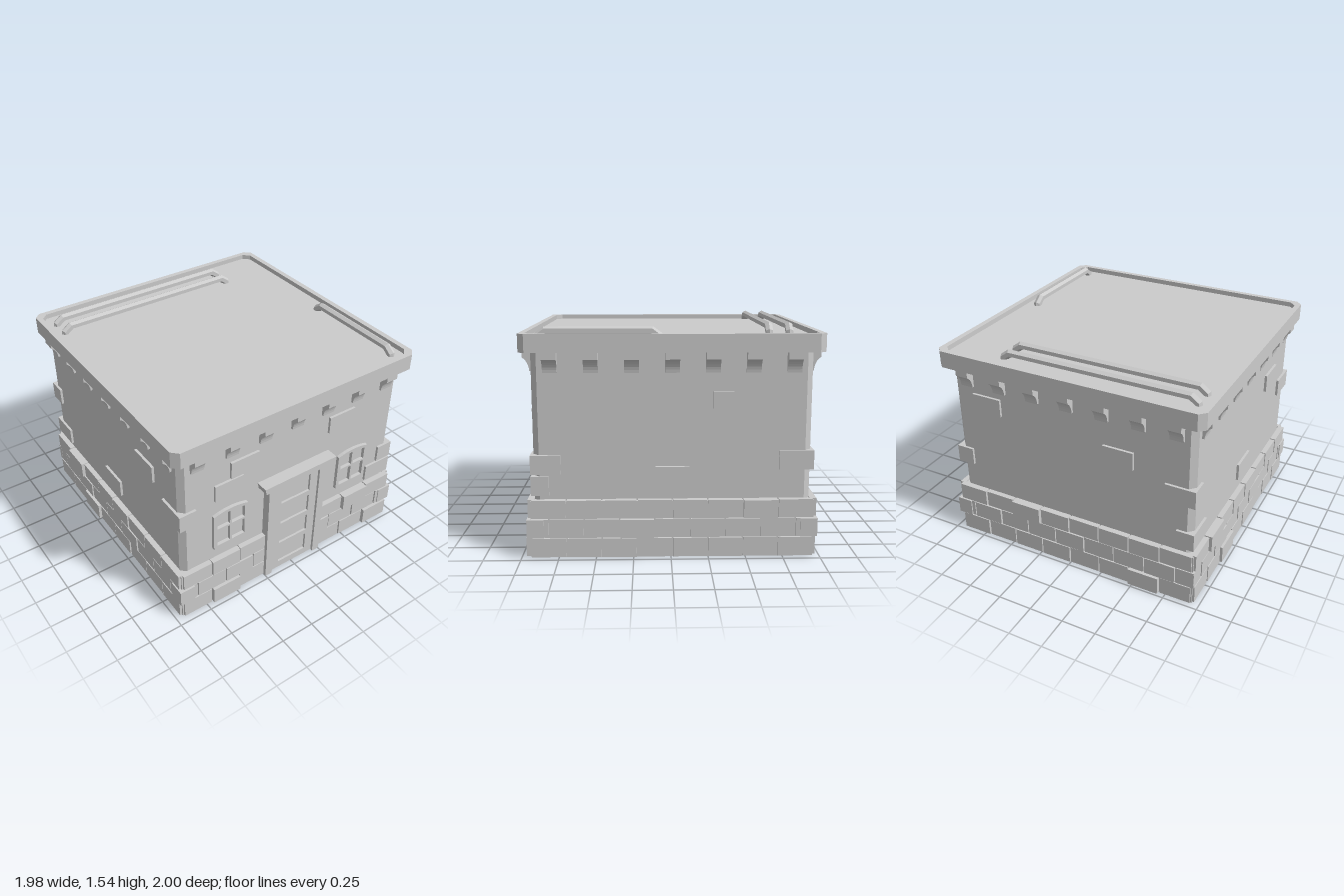
import * as THREE from 'three';

const mat = new THREE.MeshStandardMaterial({ color: 0xcccccc, flatShading: true });
const CZ = -0.01; // middle of the building in z

export function createModel() {
  const model = new THREE.Group();
  model.name = 'brickHouse';

  const add = (parent, geometry, name) => {
    const m = new THREE.Mesh(geometry, mat);
    m.name = name;
    parent.add(m);
    return m;
  };
  // Box given by its limits on each axis
  const box = (parent, name, x0, x1, y0, y1, z0, z1) =>
    add(parent, new THREE.BoxGeometry(x1 - x0, y1 - y0, z1 - z0), name)
      .position.set((x0 + x1) / 2, (y0 + y1) / 2, (z0 + z1) / 2);
  const points = (list) => list.map(([x, y]) => new THREE.Vector2(x, y));
  const extrude = (shape, depth) =>
    new THREE.ExtrudeGeometry(shape, { depth, bevelEnabled: false, curveSegments: 6 });
  const rect = (x0, x1, y0, y1) => points([[x0, y0], [x1, y0], [x1, y1], [x0, y1]]);

  // Square with cut corners, raised from y0 to y1, optionally hollow
  const octagon = (r, c) => points([[r, -r + c], [r, r - c], [r - c, r], [-r + c, r],
    [-r, r - c], [-r, -r + c], [-r + c, -r], [r - c, -r]]);
  const slab = (name, r, c, y0, y1, hole) => {
    const s = new THREE.Shape(octagon(r, c));
    if (hole) s.holes.push(new THREE.Path(octagon(hole, c)));
    add(model, extrude(s, y1 - y0).rotateX(-Math.PI / 2), name).position.set(0, y0, CZ);
  };

  slab('walls', 0.92, 0.04, 0.01, 1.4);
  slab('roofDeck', 0.97, 0.04, 1.38, 1.465);
  slab('roofRim', 0.99, 0.045, 1.38, 1.5, 0.95);
  box(model, 'baseCore', -0.945, 0.945, 0, 0.39, CZ - 0.945, CZ + 0.945);

  // Concave corbel profile: x outward, y up
  const corbelShape = new THREE.Shape();
  corbelShape.moveTo(0.9, 1.385);
  corbelShape.lineTo(0.982, 1.385);
  corbelShape.lineTo(0.982, 1.335);
  corbelShape.quadraticCurveTo(0.94, 1.31, 0.935, 1.245);
  corbelShape.lineTo(0.9, 1.245);
  const corbelGeometry = extrude(corbelShape, 0.095).translate(0, 0, -0.0475).rotateY(-Math.PI / 2);

  // Sides in order: front, +x, back, -x. Wall bricks are [u, y];
  // raised base bricks are [row, u], with u running along the wall.
  const sides = [
    { name: 'front', wall: [[-0.425, 1.125], [-0.55, 0.985], [0.4, 1.13]], raised: [[0, -0.6], [0, 0.8], [2, 0.55]] },
    { name: 'right', wall: [[0.38, 1.055], [0, 0.555]], raised: [[1, -0.25], [2, 0.57]] },
    { name: 'back', wall: [[-0.64, 1.13], [0.38, 1.0]], raised: [[0, 0.57], [2, -0.37]] },
    { name: 'left', wall: [[0.5, 1.055], [0, 0.56]], raised: [[0, -0.35], [2, -0.6]] },
  ];
  const rows = [[0.005, 0.135], [0.142, 0.268], [0.275, 0.398]];
  const gap = 0.005;

  sides.forEach((side, k) => {
    const g = new THREE.Group();
    g.name = side.name + 'Side';
    g.rotation.y = k * Math.PI / 2;
    g.position.z = CZ;
    model.add(g);

    for (let i = -3; i <= 3; i++) add(g, corbelGeometry, 'corbel').position.x = i * 0.264;
    for (const [u, y] of side.wall) box(g, 'wallBrick', u - 0.112, u + 0.112, y - 0.065, y + 0.065, 0.9, 0.938);

    // Brick courses of the base, the middle one shifted by half a brick
    rows.forEach(([y0, y1], r) => {
      for (let i = -5; i <= 4; i++) {
        const start = (i + (r === 1 ? 0.5 : 0)) * 0.235;
        let a = Math.max(start + gap, -0.958);
        let b = Math.min(start + 0.235 - gap, 0.958);
        const mid = start + 0.1175;
        if (k === 0) { // leave room for the doorway
          if (mid < 0) b = Math.min(b, -0.25);
          else a = Math.max(a, 0.25);
        }
        if (b - a < 0.03) continue;
        const up = side.raised.some(([row, u]) => row === r && u > start && u < start + 0.235);
        const out = up ? 0.978 : 0.957 + ((i * 7 + r * 3 + k * 5 + 50) % 3) * 0.003;
        box(g, up ? 'raisedBaseBrick' : 'baseBrick', a, b, y0, y1, 0.92, out);
      }
    });
  });

  // Bricks wrapped round the wall corners: [x sign, z sign, x length, z length, y]
  for (const [sx, sz, lx, lz, y] of [
    [-1, 1, 0.13, 0.22, 0.865], [1, 1, 0.13, 0.2, 0.635], [1, 1, 0.23, 0.12, 0.49],
    [1, -1, 0.13, 0.23, 0.66], [-1, -1, 0.22, 0.13, 0.84], [-1, -1, 0.13, 0.22, 0.5],
  ]) {
    add(model, new THREE.BoxGeometry(lx, 0.13, lz), 'cornerBrick')
      .position.set(sx * (0.938 - lx / 2), y, CZ + sz * (0.938 - lz / 2));
  }
  // Raised corner bricks of the base
  for (const [sx, sz] of [[-1, 1], [1, 1], [1, -1]]) {
    add(model, new THREE.BoxGeometry(0.115, 0.126, 0.115), 'baseCornerBrick')
      .position.set(sx * 0.912, 0.205, CZ + sz * 0.912);
  }

  // Doorway: side posts, head, panelled leaf and flared lintel
  const door = new THREE.Group();
  door.name = 'doorway';
  model.add(door);
  for (const s of [-1, 1]) {
    const x = s * 0.222;
    box(door, 'doorPost', x - 0.029, x + 0.029, 0, 0.85, 0.88, 0.972);
  }
  box(door, 'doorHead', -0.2, 0.2, 0.84, 0.86, 0.88, 0.972);
  box(door, 'doorBacking', -0.195, 0.195, 0.005, 0.845, 0.88, 0.938);
  const leaf = new THREE.Shape(rect(-0.194, 0.194, 0.005, 0.842));
  for (let i = 0; i < 4; i++) {
    const y = 0.06 + i * 0.195;
    leaf.holes.push(new THREE.Path(rect(-0.125, 0.125, y, y + 0.15)));
  }
  add(door, extrude(leaf, 0.018), 'doorLeaf').position.z = 0.936;
  const lintel = new THREE.Shape(points([[-0.298, 0.85], [0.298, 0.85], [0.31, 0.9], [-0.31, 0.9]]));
  add(door, extrude(lintel, 0.11), 'lintel').position.z = 0.89;

  // Arched windows with four panes
  const arch = (path, x0, x1, y0, yl, yr, bulge) => {
    path.moveTo(x0, y0);
    path.lineTo(x1, y0);
    path.lineTo(x1, yr);
    path.quadraticCurveTo((x0 + x1) / 2, (yl + yr) / 2 + bulge, x0, yl);
    path.closePath();
    return path;
  };
  const frame = arch(new THREE.Shape(), -0.138, 0.138, 0.5, 0.795, 0.795, 0.045);
  frame.holes.push(
    new THREE.Path(rect(-0.112, -0.008, 0.525, 0.66)), new THREE.Path(rect(0.008, 0.112, 0.525, 0.66)),
    arch(new THREE.Path(), -0.112, -0.008, 0.676, 0.778, 0.793, 0.006),
    arch(new THREE.Path(), 0.008, 0.112, 0.676, 0.793, 0.778, 0.006));
  const frameGeometry = extrude(frame, 0.035);
  for (const x of [-0.541, 0.541]) add(model, frameGeometry, 'windowFrame').position.set(x, 0, 0.9);

  // Six-sided roof rail with bent-down ends, built from mitred rings
  const rail = (length) => {
    const h = length / 2, r = 0.029;
    const path = [[-h + 0.02, 1.45], [-h + 0.02, 1.475], [-h + 0.07, 1.512],
      [h - 0.07, 1.512], [h - 0.02, 1.475], [h - 0.02, 1.45]];
    const pos = [], idx = [];
    path.forEach(([x, y], i) => {
      const [ax, ay] = path[Math.max(i - 1, 0)], [bx, by] = path[Math.min(i + 1, 5)];
      const t = new THREE.Vector2(bx - ax, by - ay).normalize();
      if (i === 2 || i === 3) t.set(0.94, i === 2 ? 0.34 : -0.34); // mitre at the long run
      for (let j = 0; j < 6; j++) {
        const a = j * Math.PI / 3, n = r * Math.cos(a);
        pos.push(x - t.y * n, y + t.x * n, r * Math.sin(a));
        if (i < 5) {
          const p = i * 6 + j, q = i * 6 + (j + 1) % 6;
          idx.push(p, q, p + 6, q, q + 6, p + 6);
        }
      }
    });
    const g = new THREE.BufferGeometry();
    g.setAttribute('position', new THREE.Float32BufferAttribute(pos, 3));
    g.setIndex(idx);
    g.computeVertexNormals();
    return g;
  };
  const longRail = rail(1.46);
  for (const z of [-0.83, -0.69]) add(model, longRail, 'roofRail').position.set(-0.17, 0, z);
  const shortRail = add(model, rail(0.83), 'roofRail');
  shortRail.position.set(0.86, 0, 0.47);
  shortRail.rotation.y = Math.PI / 2;

  return model;
}
